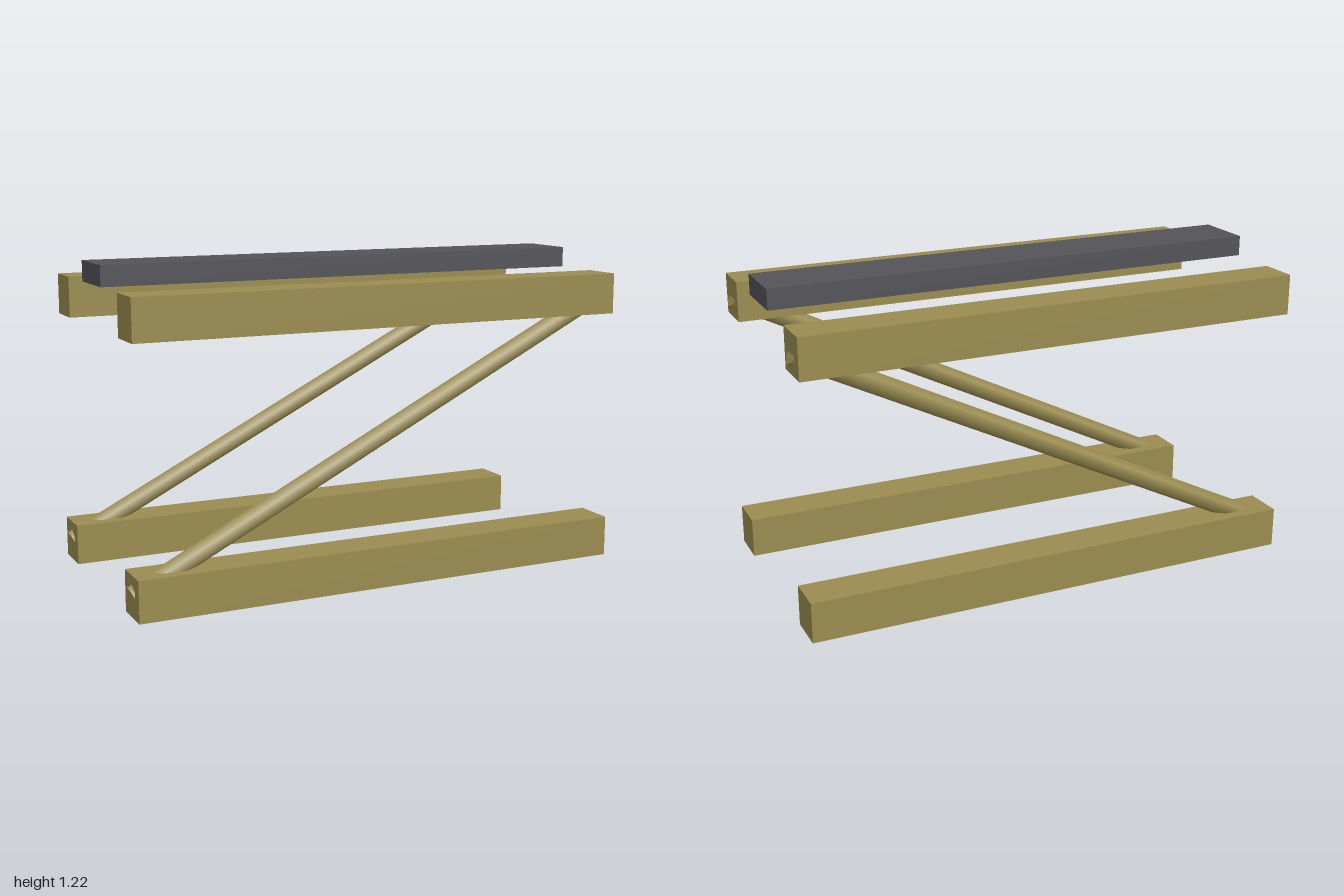
import * as THREE from 'three';

export function createModel() {
  const wood = new THREE.MeshStandardMaterial({ name: 'olive wood', color: 0x9a8c50 });
  const dark = new THREE.MeshStandardMaterial({ name: 'dark grey', color: 0x545358 });

  const model = new THREE.Group();
  model.name = 'liftFrame';

  const length = 1.965, beam = 0.157, lowY = beam / 2, highY = 1.063;
  const add = (name, geometry, material, x, y, z) => {
    const mesh = new THREE.Mesh(geometry, material);
    mesh.name = name;
    mesh.position.set(x, y, z);
    model.add(mesh);
    return mesh;
  };

  // Six-sided rod with a corner facing down, running between beam end centres
  const rise = highY - lowY;
  const rodGeometry = new THREE.CylinderGeometry(
    0.0393, 0.0393, Math.hypot(length, rise), 6, 1, false, Math.PI / 2);
  const beamGeometry = new THREE.BoxGeometry(length, beam, beam);

  // Two matching side frames
  for (const [side, z] of [['front', 0.393], ['back', -0.393]]) {
    add(side + 'LowerBeam', beamGeometry, wood, 0, lowY, z);
    add(side + 'UpperBeam', beamGeometry, wood, 0, highY, z);
    const rod = add(side + 'DiagonalRod', rodGeometry, wood, 0, (lowY + highY) / 2, z);
    rod.rotation.z = Math.atan2(rise, length) - Math.PI / 2;
  }

  // Central plank just above the upper beams
  add('topPlank', new THREE.BoxGeometry(length, 0.079, 0.236), dark, 0, 1.181, 0);

  return model;
}
